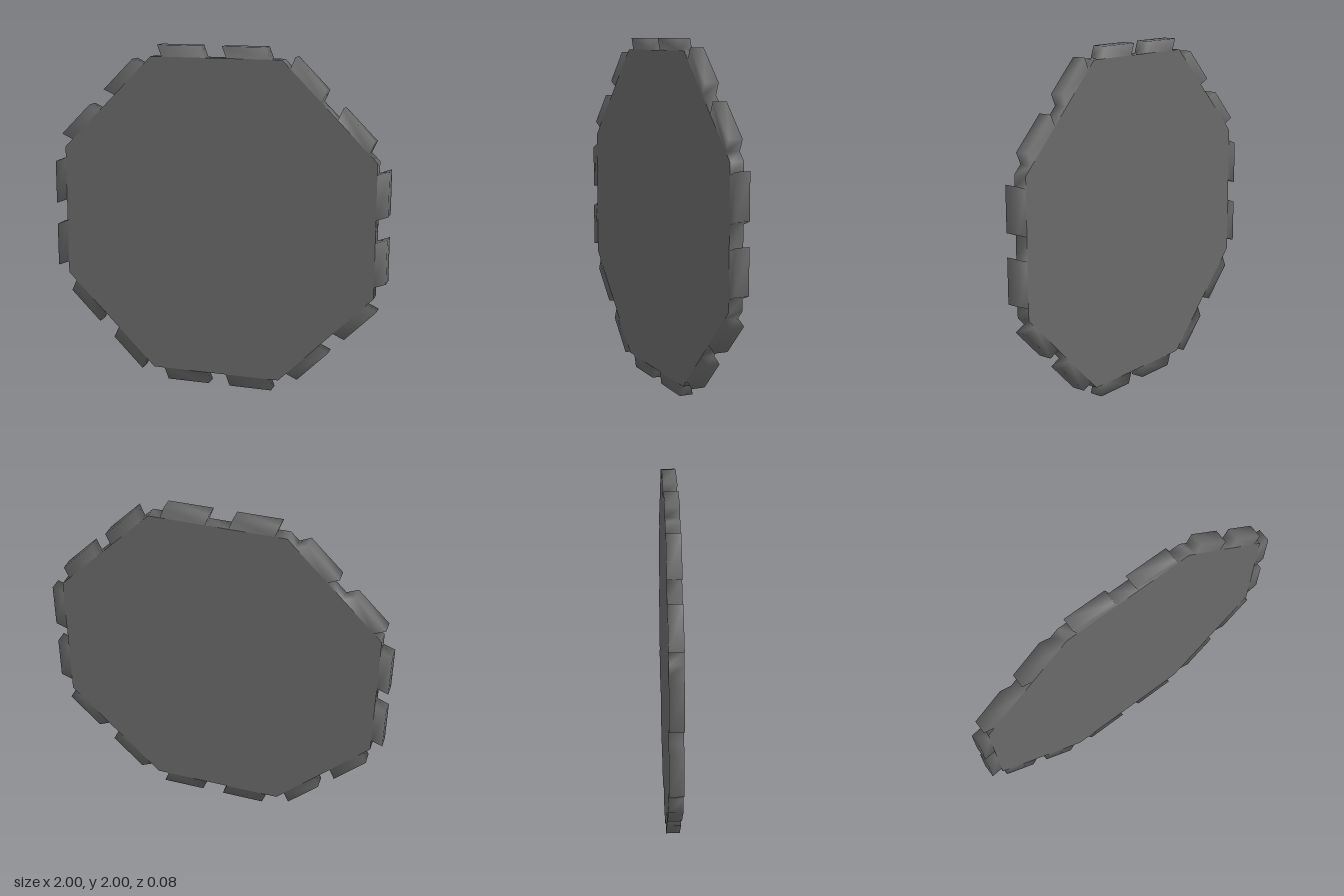
import * as THREE from 'three';

const APOTHEM = 0.933, OUTER = 1, HALF = 0.04;
const CORNER = APOTHEM * Math.tan(Math.PI / 8);

// One octagon side, as [distance along the side, distance from the centre]:
// a corner, then two teeth that lean the same way round
const SIDE = [
  [-CORNER, APOTHEM],
  [-0.32, APOTHEM], [-0.295, OUTER], [-0.04, OUTER], [-0.065, APOTHEM],
  [0.065, APOTHEM], [0.09, OUTER], [0.345, OUTER], [0.32, APOTHEM],
];

// Outer wall and tooth cheeks, sharing vertices so the shading is smooth
function rimGeometry() {
  const positions = [], index = [];
  for (let k = 0; k < 8; k++) {
    const c = Math.cos(k * Math.PI / 4), s = Math.sin(k * Math.PI / 4);
    for (const [t, r] of SIDE) {
      const x = c * r - s * t, y = s * r + c * t;
      positions.push(x, y, HALF, x, y, -HALF);
    }
  }
  const n = 8 * SIDE.length;
  const quad = (a, b, c, d) => index.push(a, b, c, a, c, d);
  for (let i = 0; i < n; i++) {
    const f = 2 * i, g = 2 * ((i + 1) % n);
    quad(f, f + 1, g + 1, g);
  }
  for (let k = 0; k < 8; k++) {
    for (const first of [1, 5]) {
      const f = 2 * (k * SIDE.length + first);
      quad(f, f + 2, f + 4, f + 6);
      quad(f + 7, f + 5, f + 3, f + 1);
    }
  }
  const geo = new THREE.BufferGeometry();
  geo.setAttribute('position', new THREE.Float32BufferAttribute(positions, 3));
  geo.setIndex(index);
  geo.computeVertexNormals();
  return geo;
}

export function createModel() {
  const model = new THREE.Group();
  model.name = 'toothedOctagonPlate';
  const grey = new THREE.MeshStandardMaterial({ color: 0x6a6a6a });
  grey.name = 'grey';

  const add = (name, geo) => {
    const mesh = new THREE.Mesh(geo, grey);
    mesh.name = name;
    mesh.position.y = 1;
    model.add(mesh);
    return mesh;
  };

  add('toothedRim', rimGeometry());

  // Flat octagonal faces
  const corners = [];
  for (let k = 0; k < 8; k++) {
    const a = (k + 0.5) * Math.PI / 4, r = Math.hypot(APOTHEM, CORNER);
    corners.push(new THREE.Vector2(r * Math.cos(a), r * Math.sin(a)));
  }
  const face = new THREE.ShapeGeometry(new THREE.Shape(corners));
  add('frontFace', face).position.z = HALF;
  const back = add('backFace', face);
  back.position.z = -HALF;
  back.rotation.y = Math.PI;

  return model;
}
